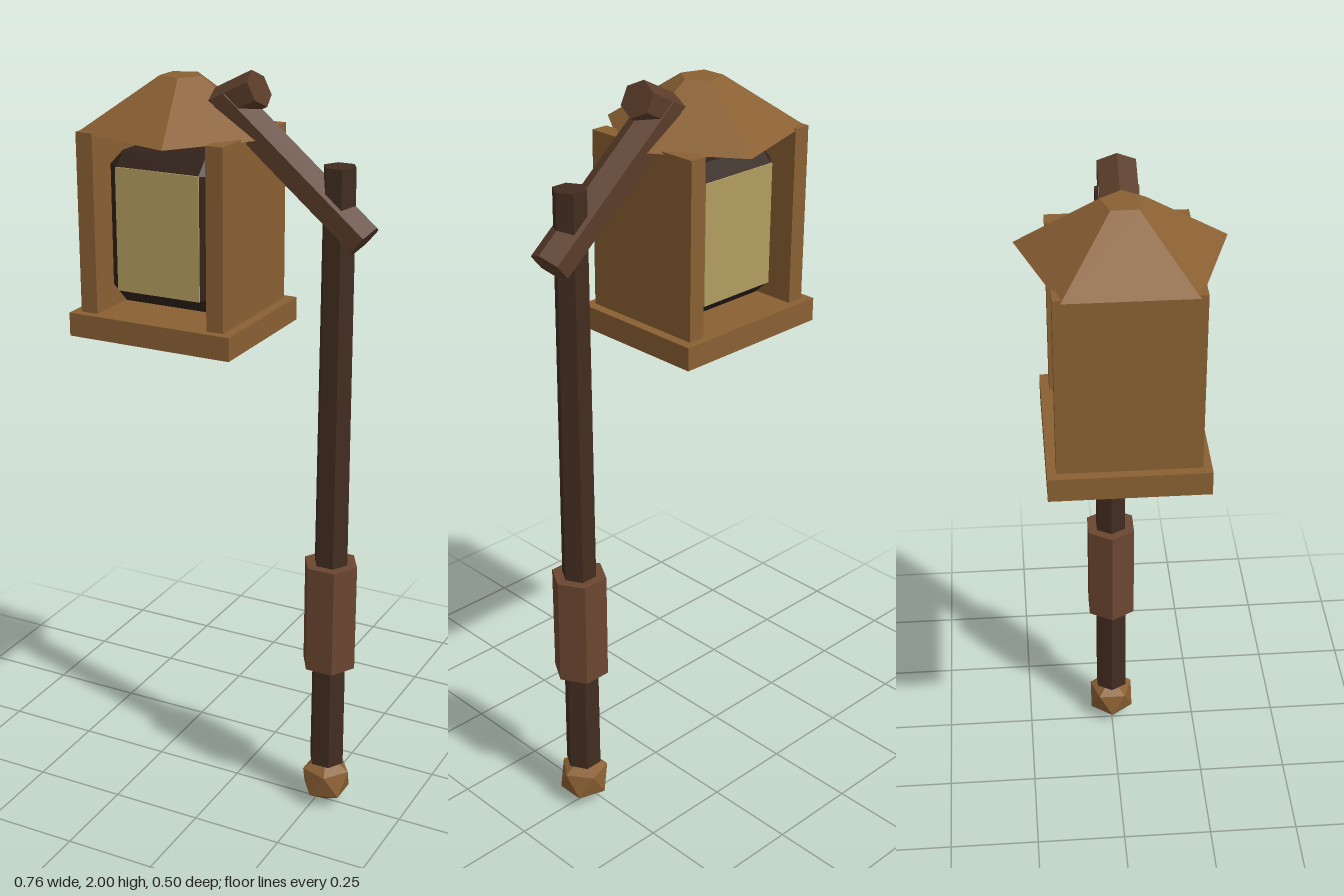
import * as THREE from 'three';
import { ConvexGeometry } from 'three/addons/geometries/ConvexGeometry.js';

const mat = (color) => new THREE.MeshStandardMaterial({ color, flatShading: true });

export function createModel() {
  const group = new THREE.Group();
  const wood = mat(0x8a6033), darkWood = mat(0x422c20), beamWood = mat(0x5a3c29);
  const gripWood = mat(0x6b4630), iron = mat(0x32231a), glass = mat(0xb39e60);

  const add = (name, geometry, material, x = 0, y = 0, z = 0) => {
    const mesh = new THREE.Mesh(geometry, material);
    mesh.name = name;
    mesh.position.set(x, y, z);
    group.add(mesh);
    return mesh;
  };

  // Six-sided rod between two points in the z = 0 plane, flats facing front and back
  const rod = (name, material, [x0, y0], [x1, y1], r0, r1 = r0, depth = 1) => {
    const dx = x1 - x0, dy = y1 - y0;
    const g = new THREE.CylinderGeometry(r1, r0, Math.hypot(dx, dy), 6);
    g.rotateY(Math.PI / 6).scale(1, 1, depth);
    const mesh = add(name, g, material, (x0 + x1) / 2, (y0 + y1) / 2);
    mesh.rotation.z = Math.atan2(-dx, dy);
    return mesh;
  };

  // Staff
  const px = 0.278;
  rod('pole', darkWood, [px, 0.13], [px, 1.79], 0.049, 0.043);
  rod('grip', gripWood, [px, 0.435], [px, 0.735], 0.075);
  const pommel = add('pommel', new THREE.IcosahedronGeometry(0.073, 0), wood, px, 0.073);
  pommel.rotation.z = -Math.atan(2 / (1 + Math.sqrt(5)));

  // Slanted arm and the crossbar that holds the lantern
  rod('arm', beamWood, [0.347, 1.612], [-0.03, 1.927], 0.049, 0.049, 1.13);
  rod('crossbar', beamWood, [-0.21, 1.822], [0.06, 1.958], 0.048, 0.048, 1.1);

  // Lantern housing
  const cx = -0.154;
  add('roof', new THREE.CylinderGeometry(0.055, 0.263, 0.135, 5, 1, false, Math.PI / 2), wood, cx, 1.9075);
  add('basePlate', new THREE.BoxGeometry(0.46, 0.062, 0.39), wood, cx, 1.351);
  for (const [side, x] of [['left', 0.026], ['right', -0.337]]) {
    add(side + 'Panel', new THREE.BoxGeometry(0.047, 0.465, 0.346), wood, x, 1.6125);
  }

  // Lamp body: a box with every edge and corner chamfered
  const half = [0.154, 0.195, 0.135], bevel = 0.038, points = [];
  for (const sx of [-1, 1]) for (const sy of [-1, 1]) for (const sz of [-1, 1]) {
    for (let axis = 0; axis < 3; axis++) {
      const p = half.map((h, i) => (i === axis ? h : h - bevel));
      points.push(new THREE.Vector3(p[0] * sx, p[1] * sy, p[2] * sz));
    }
  }
  add('lampFrame', new ConvexGeometry(points), iron, cx, 1.6);
  add('lampGlass', new THREE.BoxGeometry(0.235, 0.318, 0.274), glass, cx, 1.6);

  return group;
}
